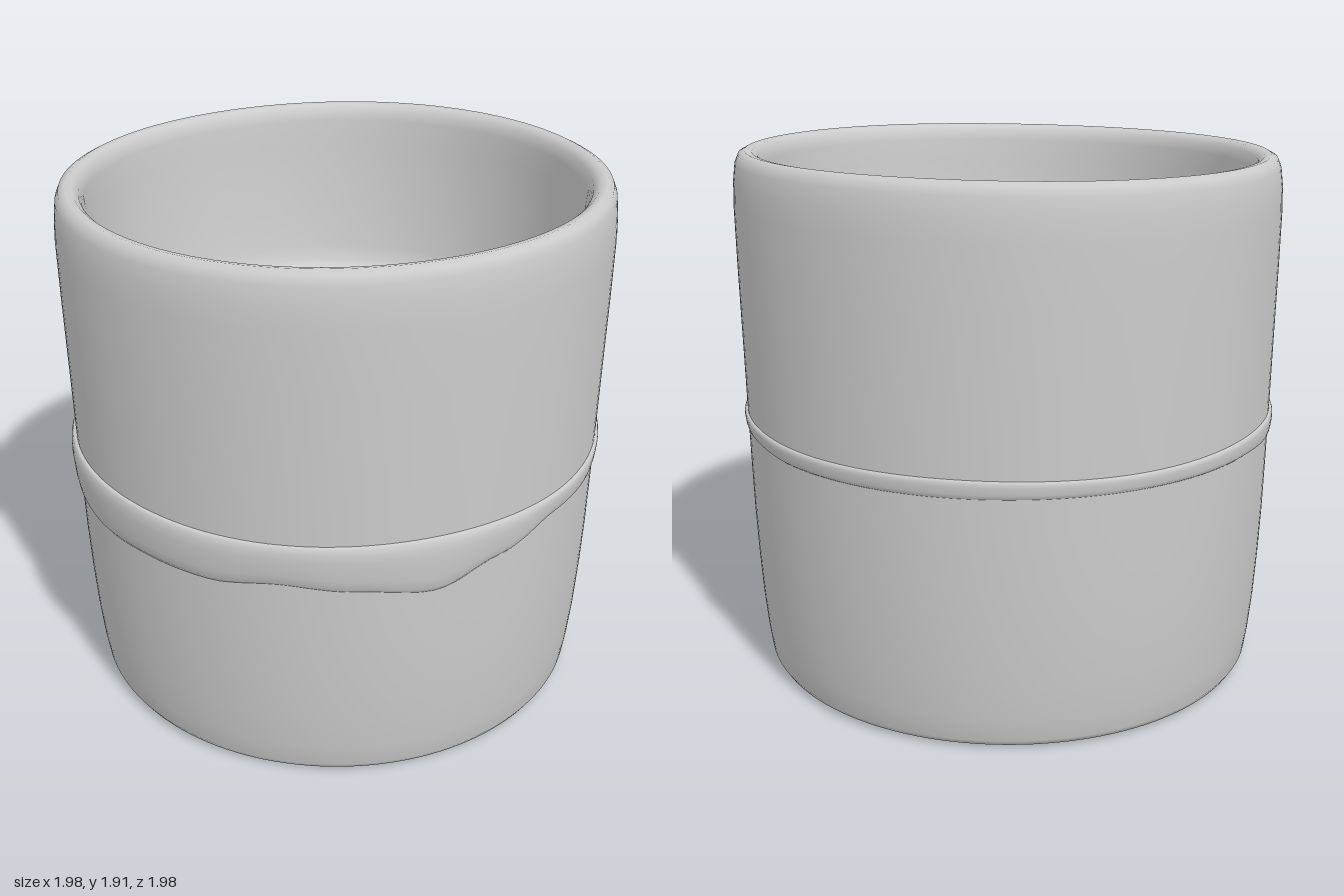
import * as THREE from 'three';
import { mergeVertices } from 'three/addons/utils/BufferGeometryUtils.js';

const material = new THREE.MeshStandardMaterial({ color: 0xcccccc });
const SEGMENTS = 144;

// Height of the lower glaze edge every 15 degrees, from the front towards the left
const dripEdge = [
  0.79, 0.76, 0.83, 0.89, 0.89, 0.91, 0.92, 0.92, 0.91, 0.91, 0.91, 0.91,
  0.91, 0.91, 0.91, 0.91, 0.90, 0.88, 0.83, 0.78, 0.77, 0.78, 0.78, 0.81,
];

function dripHeight(angle) {
  const n = dripEdge.length;
  const t = ((angle / (Math.PI * 2) + 1) % 1) * n;
  const i = Math.floor(t), f = t - i;
  const s = f * f * (3 - 2 * f);
  return dripEdge[i % n] * (1 - s) + dripEdge[(i + 1) % n] * s;
}

// Lathe whose vertices are moved by a rule, welded for smooth shading
function turned(name, profile, rule) {
  const points = profile.map(([r, y]) => new THREE.Vector2(r, y));
  const geometry = new THREE.LatheGeometry(points, SEGMENTS);
  const pos = geometry.attributes.position;
  const v = new THREE.Vector3();
  for (let i = 0; i < pos.count; i++) {
    rule(v.fromBufferAttribute(pos, i));
    pos.setXYZ(i, v.x, v.y, v.z);
  }
  geometry.deleteAttribute('normal');
  geometry.deleteAttribute('uv');
  const welded = mergeVertices(geometry, 1e-5);
  welded.computeVertexNormals();
  const mesh = new THREE.Mesh(welded, material);
  mesh.name = name;
  return mesh;
}

export function createModel() {
  const cup = new THREE.Group();
  cup.name = 'cup';

  // Body: base, outer wall, rounded rim, stepped inner wall, floor with ring
  const bodyProfile = [
    [0, 0.012], [0.5, 0.012], [0.53, 0.006], [0.56, 0.012], [0.89, 0.01], [0.915, 0.014],
    [0.928, 0.035], [0.94, 0.12], [0.952, 0.25], [0.962, 0.42], [0.969, 0.6], [0.973, 0.8],
    [0.976, 1.0], [0.979, 1.25], [0.982, 1.5], [0.983, 1.72], [0.979, 1.8], [0.971, 1.86],
    [0.958, 1.89], [0.935, 1.902], [0.91, 1.897], [0.89, 1.878], [0.88, 1.84], [0.875, 1.75],
    [0.86, 1.6], [0.84, 1.45], [0.82, 1.32], [0.805, 1.265], [0.785, 1.245], [0.76, 1.24],
    [0.735, 1.23], [0.72, 1.205], [0.713, 1.15], [0.71, 0.9], [0.705, 0.6], [0.695, 0.3],
    [0.685, 0.23], [0.665, 0.205], [0.63, 0.2], [0.53, 0.2], [0.522, 0.212], [0.5, 0.222],
    [0.478, 0.212], [0.47, 0.2], [0.3, 0.2], [0, 0.2],
  ];
  cup.add(turned('body', bodyProfile, (v) => {
    // Slightly tilted, hand-made rim and a gently uneven wall
    const a = Math.atan2(v.x, v.z);
    const lift = THREE.MathUtils.smoothstep(v.y, 1.3, 1.9);
    v.y += lift * (0.011 * v.x + 0.002 * Math.sin(3 * a));
    const wobble = 1 + 0.0015 * Math.sin(2 * a + v.y * 2);
    v.x *= wobble;
    v.z *= wobble;
  }));

  // Glaze band: x is the bulge (0 to 1), y runs from the drip edge to the top
  const bandProfile = [
    [0.5, 0], [1, 0.04], [1.5, 0.12], [1.75, 0.3], [1.9, 0.5],
    [2, 0.7], [1.95, 0.85], [1.7, 0.95], [1.4, 0.99], [0.5, 1],
  ];
  cup.add(turned('glazeBand', bandProfile, (v) => {
    const a = Math.atan2(v.x, v.z);
    const bulge = Math.hypot(v.x, v.z) - 1;
    const low = dripHeight(a);
    const top = 0.976 + 0.003 * Math.sin(5 * a) + 0.002 * Math.sin(3 * a + 1);
    const thickness = 0.012 + 0.011 * THREE.MathUtils.clamp((0.92 - low) / 0.14, 0, 1);
    const r = 0.973 + bulge * thickness;
    v.set(r * Math.sin(a), THREE.MathUtils.lerp(low, top, v.y), r * Math.cos(a));
  }));

  // Small flat feet under the base
  const feet = [[0.46, -0.46], [0.37, -0.53], [0.57, 0.39], [-0.55, -0.2], [-0.65, 0.15]];
  for (const [x, z] of feet) {
    const foot = new THREE.Mesh(new THREE.SphereGeometry(0.045, 20, 10), material);
    foot.name = 'foot';
    foot.scale.y = 0.2;
    foot.position.set(x, 0.01, z);
    cup.add(foot);
  }
  return cup;
}
